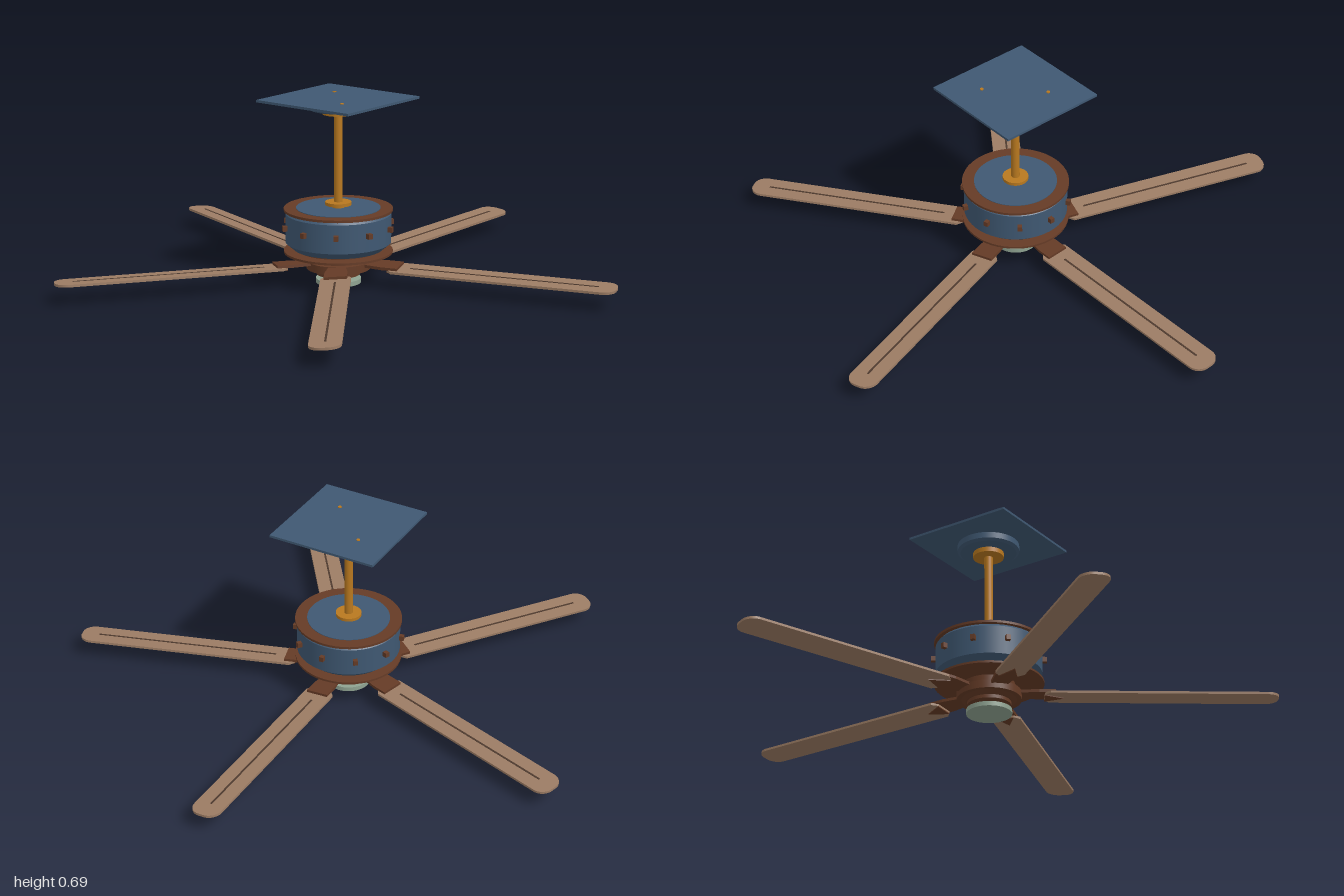
import * as THREE from 'three';

const mat = (name, color) => {
  const m = new THREE.MeshStandardMaterial({ color });
  m.name = name;
  return m;
};

export function createModel() {
  const blue = mat('slate blue', 0x3f5872);
  const brown = mat('dark brown', 0x653b26);
  const wood = mat('blade wood', 0x9c7c64);
  const seam = mat('seam brown', 0x4e3a2e);
  const gold = mat('brass', 0xb8781f);
  const glass = mat('pale green glass', 0x8fa391);

  const model = new THREE.Group();
  model.name = 'ceilingFan';
  const fan = new THREE.Group();
  fan.name = 'fanAxis';
  fan.position.x = -0.094;
  model.add(fan);

  const add = (name, geometry, material, parent = fan, x = 0, y = 0, z = 0) => {
    const mesh = new THREE.Mesh(geometry, material);
    mesh.name = name;
    mesh.position.set(x, y, z);
    parent.add(mesh);
    return mesh;
  };
  // Upright disc or rod between two heights
  const disc = (name, material, y0, y1, rTop, rBottom = rTop, segments = 48) =>
    add(name, new THREE.CylinderGeometry(rTop, rBottom, y1 - y0, segments), material, fan, 0, (y0 + y1) / 2);
  // Flat outline in x and z, with thickness along y
  const slab = (shape, depth) => {
    const g = new THREE.ExtrudeGeometry(shape, { depth, bevelEnabled: false, curveSegments: 10 });
    g.rotateX(-Math.PI / 2);
    return g;
  };

  // Ceiling plate, canopy and rod
  add('ceilingPlate', new THREE.BoxGeometry(0.42, 0.009, 0.42), blue, fan, 0, 0.6835);
  for (const s of [-1, 1]) {
    add('plateScrew', new THREE.CylinderGeometry(0.007, 0.007, 0.004, 12), gold, fan, 0.085 * s, 0.689, -0.085 * s);
  }
  disc('canopy', blue, 0.656, 0.68, 0.115);
  disc('canopyChamfer', blue, 0.648, 0.656, 0.115, 0.104);
  disc('upperFlange', gold, 0.63, 0.648, 0.057);
  disc('downRod', gold, 0.28, 0.64, 0.016, 0.016, 24);
  disc('rodSocket', gold, 0.28, 0.292, 0.024, 0.024, 24);
  disc('rodCollar', gold, 0.292, 0.304, 0.048, 0.048, 32);

  // Motor housing with its brown rims
  disc('motorTop', blue, 0.27, 0.283, 0.155);
  disc('topRim', brown, 0.272, 0.281, 0.2);
  disc('motorShoulder', blue, 0.262, 0.272, 0.185, 0.194);
  disc('motorDrum', blue, 0.155, 0.262, 0.194);
  disc('motorTaper', blue, 0.13, 0.155, 0.194, 0.165);
  disc('motorNeck', brown, 0.122, 0.13, 0.15);
  disc('lowerRim', brown, 0.115, 0.123, 0.2);

  // Studs round the drum
  for (let i = 0; i < 10; i++) {
    const pivot = new THREE.Group();
    pivot.name = 'studPivot';
    pivot.rotation.y = (i * Math.PI) / 5;
    fan.add(pivot);
    add('drumStud', new THREE.BoxGeometry(0.022, 0.019, 0.017), brown, pivot, 0.2, 0.215);
  }

  // Stepped hub and light below
  disc('hubUpper', brown, 0.085, 0.116, 0.095);
  disc('hubMiddle', brown, 0.055, 0.085, 0.118);
  disc('hubLower', brown, 0.045, 0.055, 0.1, 0.085);
  disc('hubStep', brown, 0.032, 0.045, 0.08);
  disc('lightNeck', brown, 0.016, 0.032, 0.045);
  disc('lightDisc', glass, 0, 0.017, 0.083);

  // Blade outline along +x with rounded corners
  const x0 = 0.2, x1 = 1.046, h = 0.055, r = 0.045;
  const outline = new THREE.Shape();
  outline.moveTo(x0 + 0.02, -h);
  outline.lineTo(x1 - r, -h);
  outline.absarc(x1 - r, -h + r, r, -Math.PI / 2, 0);
  outline.absarc(x1 - r, h - r, r, 0, Math.PI / 2);
  outline.lineTo(x0 + 0.02, h);
  outline.lineTo(x0, h - 0.02);
  outline.lineTo(x0, -h + 0.02);
  outline.closePath();
  const bladeGeo = slab(outline, 0.009);

  // Bracket: narrow at the hub, wide where it holds the blade
  const arm = new THREE.Shape([
    [0.1, -0.03], [0.18, -0.042], [0.24, -0.042], [0.24, 0.042], [0.18, 0.042], [0.1, 0.03],
  ].map(([x, y]) => new THREE.Vector2(x, y)));
  const armGeo = slab(arm, 0.011);

  // Three-cornered clamp under the blade root
  const clamp = new THREE.Shape([
    [0.2, -0.035], [0.27, 0], [0.2, 0.035],
  ].map(([x, y]) => new THREE.Vector2(x, y)));
  const clampGeo = slab(clamp, 0.004);

  for (let i = 0; i < 5; i++) {
    const pivot = new THREE.Group();
    pivot.name = 'bladePivot';
    pivot.rotation.y = (i * Math.PI * 2) / 5;
    fan.add(pivot);
    const pitched = new THREE.Group();
    pitched.name = 'pitchedBlade';
    pitched.position.y = 0.071;
    pitched.rotation.x = 0.07;
    pivot.add(pitched);
    add('blade', bladeGeo, wood, pitched, 0, -0.0045);
    add('bladeSeam', new THREE.BoxGeometry(0.7, 0.002, 0.007), seam, pitched, 0.63, 0.0047);
    add('bladeBracket', armGeo, brown, pitched, 0, 0.003);
    add('bladeClamp', clampGeo, brown, pitched, 0, -0.008);
  }
  return model;
}
